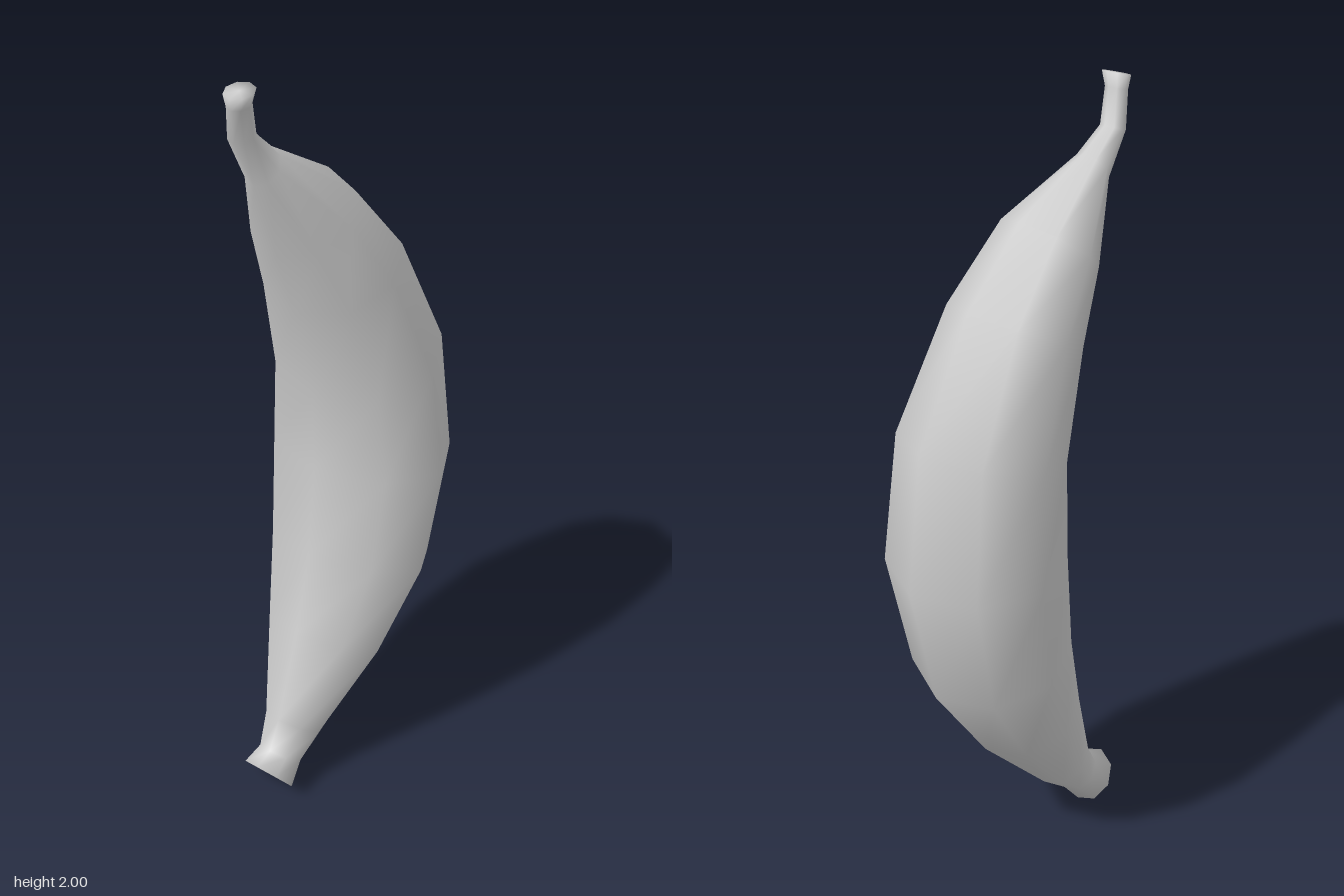
import * as THREE from 'three';

const SIDES = 8;

// Tilted rings from bottom to top: [front z, front y, back z, back y, half width, centre x]
const RINGS = [
  [0.31, 0.12, 0.22, 0.0, 0.073, -0.002],
  [0.26, 0.14, 0.17, 0.06, 0.06, 0],
  [0.22, 0.22, 0.09, 0.12, 0.08, 0],
  [0.14, 0.46, -0.12, 0.33, 0.165, 0],
  [0.085, 0.68, -0.28, 0.56, 0.22, 0],
  [0.06, 0.93, -0.35, 0.88, 0.24, 0],
  [0.065, 1.15, -0.31, 1.23, 0.216, 0],
  [0.13, 1.40, -0.16, 1.53, 0.172, 0],
  [0.19, 1.57, 0.0, 1.71, 0.132, 0],
  [0.26, 1.76, 0.20, 1.83, 0.045, 0],
  [0.31, 1.87, 0.255, 1.885, 0.032, -0.01],
  [0.338, 1.955, 0.285, 1.965, 0.027, 0.01],
  [0.35, 1.985, 0.285, 2.0, 0.035, 0.017],
];

// Skin lofted through the rings, closed with a fan at each end
function loft(rings) {
  const pos = [], index = [];
  for (const [fz, fy, bz, by, w, cx] of rings) {
    for (let j = 0; j < SIDES; j++) {
      const a = (j / SIDES) * Math.PI * 2;
      const c = Math.cos(a) / 2;
      pos.push(cx + w * Math.sin(a), (fy + by) / 2 + (fy - by) * c, (fz + bz) / 2 + (fz - bz) * c);
    }
  }
  const last = rings.length - 1;
  for (let i = 0; i < last; i++) {
    for (let j = 0; j < SIDES; j++) {
      const k = (j + 1) % SIDES;
      const a = i * SIDES + j, b = i * SIDES + k;
      index.push(a, b, b + SIDES, a, b + SIDES, a + SIDES);
    }
  }
  // End caps; the blossom end is slightly dished
  const addCap = (i, top, dy, dz) => {
    const [fz, fy, bz, by, , cx] = rings[i];
    const centre = pos.length / 3;
    pos.push(cx, (fy + by) / 2 + dy, (fz + bz) / 2 + dz);
    for (let j = 0; j < SIDES; j++) {
      const a = i * SIDES + j, b = i * SIDES + ((j + 1) % SIDES);
      index.push(centre, top ? a : b, top ? b : a);
    }
  };
  addCap(0, false, 0.012, -0.009);
  addCap(last, true, 0, 0);

  const geometry = new THREE.BufferGeometry();
  geometry.setAttribute('position', new THREE.Float32BufferAttribute(pos, 3));
  geometry.setIndex(index);
  geometry.computeVertexNormals();
  return geometry;
}

export function createModel() {
  const group = new THREE.Group();
  group.name = 'banana';
  const material = new THREE.MeshStandardMaterial({ color: 0xcccccc });
  const fruit = new THREE.Mesh(loft(RINGS), material);
  fruit.name = 'peelAndStem';
  group.add(fruit);
  return group;
}
